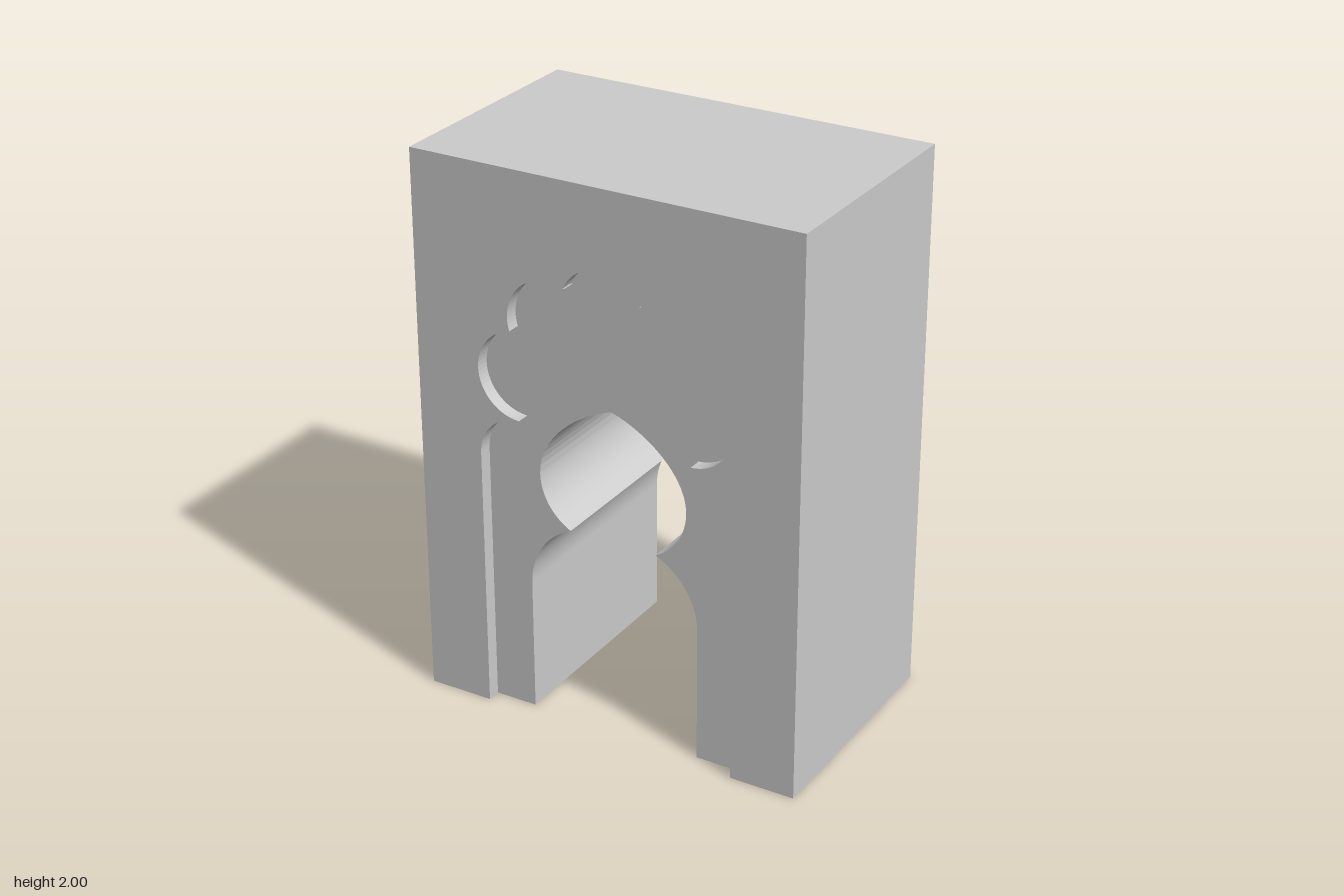
import * as THREE from 'three';

const HALF_WIDTH = 0.718, HEIGHT = 2, HALF_DEPTH = 0.438, RECESS = 0.05;
const rad = THREE.MathUtils.degToRad;

// Wall elevation with an arched opening cut up from the ground; right half is mirrored.
function wallShape(halfArch) {
  const right = halfArch.getPoints(14);
  const left = right.slice(0, -1).reverse().map(p => new THREE.Vector2(-p.x, p.y));
  return new THREE.Shape([
    new THREE.Vector2(HALF_WIDTH, 0),
    new THREE.Vector2(HALF_WIDTH, HEIGHT),
    new THREE.Vector2(-HALF_WIDTH, HEIGHT),
    new THREE.Vector2(-HALF_WIDTH, 0),
    ...[...right, ...left].reverse(),
  ]);
}

function wallLayer(name, halfArch, z0, z1, material) {
  const geometry = new THREE.ExtrudeGeometry(wallShape(halfArch), { depth: z1 - z0, bevelEnabled: false });
  geometry.translate(0, 0, z0);
  const mesh = new THREE.Mesh(geometry, material);
  mesh.name = name;
  return mesh;
}

export function createModel() {
  const group = new THREE.Group();
  group.name = 'archedGateway';
  const material = new THREE.MeshStandardMaterial({ color: 0xcccccc, flatShading: true });

  // Passage: straight jamb, curved shoulder, cusp, then a pointed horseshoe lobe
  const passage = new THREE.Path();
  passage.moveTo(0.323, 0);
  passage.lineTo(0.323, 0.49);
  passage.absarc(0.059, 0.49, 0.264, 0, rad(66.5), false);
  passage.absarc(0.07, 0.92, 0.21, rad(-63.5), 0, false);
  passage.bezierCurveTo(0.28, 1.05, 0.14, 1.17, 0, 1.213);

  // Facade recess: jamb, shoulder, then a scalloped head of five lobes
  const scallop = new THREE.Path();
  scallop.moveTo(0.48, 0);
  scallop.lineTo(0.48, 0.965);
  scallop.absarc(0.325, 0.965, 0.155, 0, rad(90), false);
  scallop.absarc(0.32, 1.28, 0.16, rad(-88), rad(77.4), false);
  scallop.absarc(0.2, 1.485, 0.16, rad(-17.5), rad(112.5), false);
  scallop.absarc(0, 1.565, 0.16, rad(25), rad(90), false);

  const face = HALF_DEPTH - RECESS;
  group.add(wallLayer('gateBody', passage, -HALF_DEPTH, face, material));
  group.add(wallLayer('scallopedFacade', scallop, face, HALF_DEPTH, material));
  return group;
}
